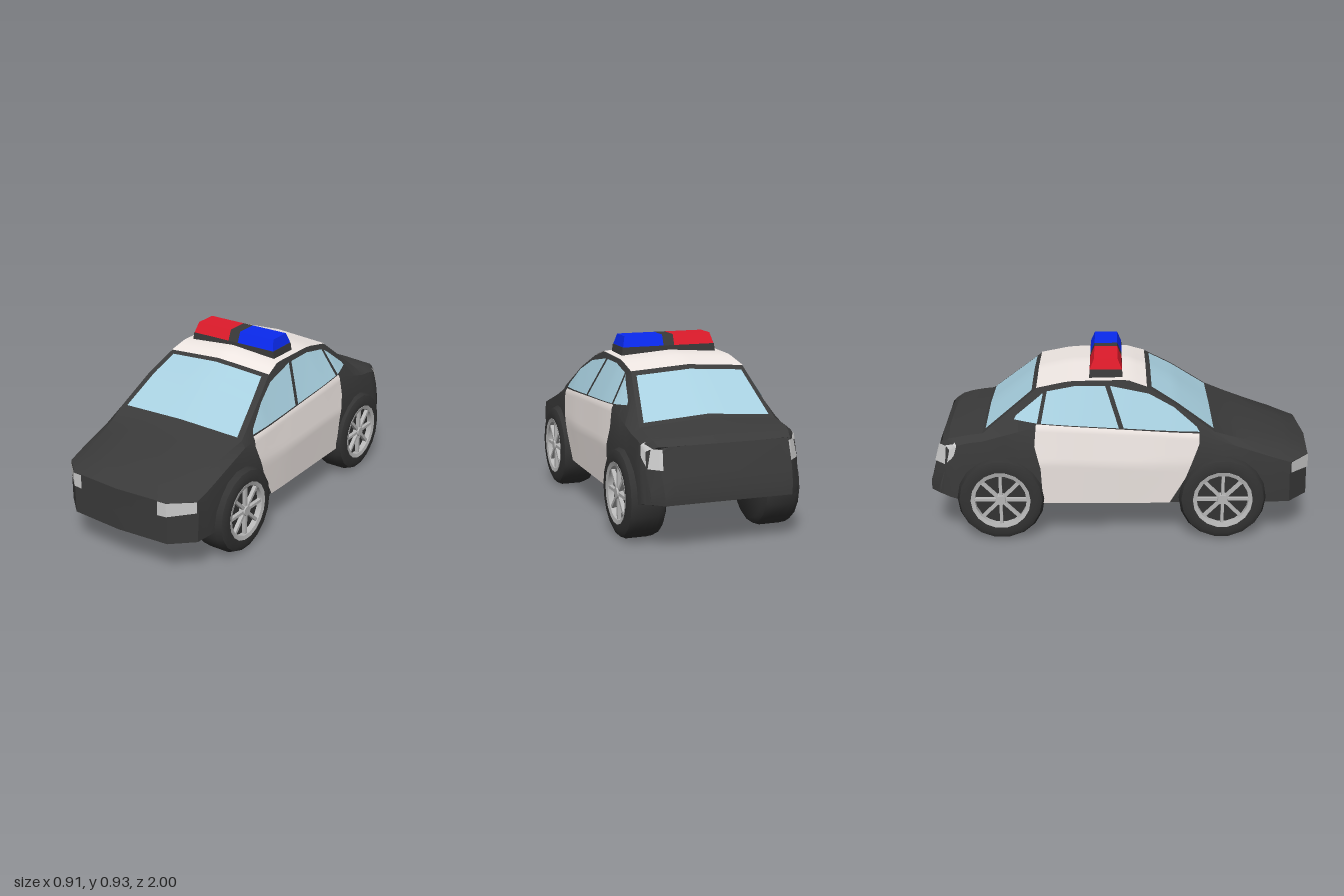
import * as THREE from 'three';
import { toCreasedNormals, mergeGeometries } from 'three/addons/utils/BufferGeometryUtils.js';

const mat = (color) => new THREE.MeshStandardMaterial({ color, side: THREE.DoubleSide });
const DARK = mat(0x3a3a3a), TYRE = mat(0x333333), WHITE = mat(0xf0e8e4), GLASS = mat(0xa8d0e0);
const METAL = mat(0xb8b8b8), LAMP = mat(0xcccccc), RED = mat(0xe01b2b), BLUE = mat(0x0a2af0);
const EPS = 0.004;
const { lerp, clamp } = THREE.MathUtils;

// Body sections, nose to tail: z, sill x y, flank x y, belt x y, top edge x y, centre y
const SECTIONS = [
  [1.0, 0.40, 0.20, 0.405, 0.35, 0.40, 0.42, 0.29, 0.425, 0.425],
  [0.88, 0.41, 0.20, 0.415, 0.36, 0.405, 0.45, 0.32, 0.47, 0.48],
  [0.48, 0.41, 0.20, 0.42, 0.42, 0.405, 0.55, 0.385, 0.585, 0.595],
  [0.28, 0.412, 0.20, 0.425, 0.42, 0.41, 0.575, 0.35, 0.72, 0.74],
  [0.14, 0.415, 0.20, 0.43, 0.42, 0.41, 0.585, 0.315, 0.80, 0.82],
  [0.03, 0.415, 0.20, 0.43, 0.42, 0.41, 0.59, 0.30, 0.835, 0.86],
  [-0.27, 0.415, 0.20, 0.43, 0.43, 0.41, 0.61, 0.30, 0.83, 0.85],
  [-0.44, 0.415, 0.20, 0.43, 0.43, 0.405, 0.62, 0.305, 0.795, 0.815],
  [-0.72, 0.415, 0.21, 0.42, 0.43, 0.40, 0.54, 0.36, 0.57, 0.595],
  [-0.90, 0.415, 0.225, 0.415, 0.42, 0.40, 0.52, 0.36, 0.55, 0.56],
  [-0.96, 0.41, 0.235, 0.41, 0.40, 0.395, 0.515, 0.35, 0.54, 0.55],
  [-1.0, 0.38, 0.245, 0.39, 0.38, 0.385, 0.49, 0.34, 0.515, 0.515],
];

function sectionAt(z) {
  let i = 0;
  while (i < SECTIONS.length - 2 && z < SECTIONS[i + 1][0]) i++;
  const a = SECTIONS[i], b = SECTIONS[i + 1];
  const t = clamp((a[0] - z) / (a[0] - b[0]), 0, 1);
  return a.map((v, k) => lerp(v, b[k], t));
}

// Half width of the body at height y
function widthAt(z, y) {
  const s = sectionAt(z);
  let k = 1;
  while (k < 5 && y > s[k + 3]) k += 2;
  return lerp(s[k], s[k + 2], clamp((y - s[k + 1]) / (s[k + 3] - s[k + 1]), 0, 1));
}

// Bows the nose in plan and slopes the tail
function warp(x, y, z) {
  const ax = Math.abs(x);
  const nose = clamp((z - 0.48) / 0.52, 0, 1), tail = clamp((-z - 0.8) / 0.2, 0, 1);
  z -= nose * (0.07 * ax + 0.85 * Math.max(0, ax - 0.29));
  z += tail * (0.26 * Math.max(0, y - 0.3) + Math.max(0, ax - 0.33));
  return [x, y, z];
}

// Surface grid from a point function of row and column
function grid(rows, cols, point, flip = false) {
  const pos = [], index = [];
  for (let i = 0; i < rows; i++) for (let j = 0; j < cols; j++) pos.push(...point(i, j));
  for (let i = 0; i < rows - 1; i++) for (let j = 0; j < cols - 1; j++) {
    const a = i * cols + j, b = a + 1, d = a + cols, c = d + 1;
    index.push(...(flip ? [a, b, d, b, c, d] : [a, d, b, b, d, c]));
  }
  const g = new THREE.BufferGeometry();
  g.setAttribute('position', new THREE.Float32BufferAttribute(pos, 3));
  g.setIndex(index);
  return g;
}

function add(parent, name, geometry, material) {
  const m = new THREE.Mesh(geometry, material);
  m.name = name;
  parent.add(m);
  return m;
}

function bodyGeometry() {
  const zs = [];
  SECTIONS.forEach((s, i) => {
    const n = SECTIONS[i + 1];
    for (let k = 0; k < (n ? 3 : 1); k++) zs.push(n ? lerp(s[0], n[0], k / 3) : s[0]);
  });
  const rings = zs.map((z) => {
    const [, xb, yb, xm, ym, xs, ys, xt, yt, yc] = sectionAt(z);
    const half = [[0, yb], [xb * 0.725, yb], [xb, yb], [xm, ym], [xs, ys], [xt, yt], [xt / 2, (yt + yc) / 2], [0, yc]];
    const other = half.slice(0, -1).reverse().map(([x, y]) => [-x, y]);
    return [...half, ...other].map(([x, y]) => warp(x, y, z));
  });
  const cap = (s, flip) => {
    const ys = [s[2], 0.3, s[4], s[6], s[8]], fs = [-1, -0.86, -0.725, 0, 0.725, 0.86, 1];
    return grid(5, 7, (i, j) => warp(fs[j] * widthAt(s[0], ys[i]), ys[i], s[0]), flip);
  };
  const shell = grid(rings.length, rings[0].length, (i, j) => rings[i][j]);
  return toCreasedNormals(mergeGeometries([shell, cap(SECTIONS[0], true), cap(SECTIONS.at(-1), false)]), 0.45);
}

// Thin panel ruled between two matching 2D curves, laid on the body by a map
function panel(parent, name, material, curveA, curveB, map) {
  const N = 6, cols = (curveA.length - 1) * N + 1;
  const at = (c, j) => {
    const k = Math.min(Math.floor(j / N), c.length - 2), t = j / N - k;
    return [lerp(c[k][0], c[k + 1][0], t), lerp(c[k][1], c[k + 1][1], t)];
  };
  const g = grid(13, cols, (i, j) => {
    const a = at(curveA, j), b = at(curveB, j), t = i / 12;
    return map(lerp(a[0], b[0], t), lerp(a[1], b[1], t));
  });
  add(parent, name, toCreasedNormals(g, 0.45), material);
}

const onSide = (s) => (z, y) => warp(s * (widthAt(z, y) + EPS), y, z);
const onEnd = (s, z) => (x, y) => {
  const p = warp(s * x, y, z);
  p[2] += Math.sign(z) * EPS;
  return p;
};
// Top panels use a fraction of the top width for x
const onTop = (f, z) => {
  const s = sectionAt(z);
  return [f * s[7], lerp(s[9], s[8], Math.abs(f)) + EPS, z];
};

// Box whose top face is pulled in; x0Top and x1Top set its ends
function wedge(x0, x1, x0Top, x1Top, y0, y1, z0, z1, inset) {
  const g = new THREE.BoxGeometry(1, 1, 1), p = g.attributes.position;
  for (let i = 0; i < p.count; i++) {
    const top = p.getY(i) > 0, right = p.getX(i) > 0, front = p.getZ(i) > 0, d = top ? inset : 0;
    p.setXYZ(i, right ? (top ? x1Top : x1) : (top ? x0Top : x0), top ? y1 : y0, front ? z1 - d : z0 + d);
  }
  g.computeVertexNormals();
  return g;
}

function makeWheel(name) {
  const wheel = new THREE.Group();
  wheel.name = name;
  const profile = [[0, -0.1], [0.19, -0.1], [0.215, -0.085], [0.228, -0.05], [0.228, 0.06], [0.215, 0.088],
    [0.19, 0.1], [0.156, 0.098], [0.15, 0.065], [0, 0.065]].map(([r, h]) => new THREE.Vector2(r, h));
  add(wheel, 'tyre', toCreasedNormals(new THREE.LatheGeometry(profile, 18).rotateZ(-Math.PI / 2), 0.6), TYRE);
  const rim = [[0.135, 0.065], [0.156, 0.07], [0.156, 0.1], [0.135, 0.095], [0.135, 0.065]].map(([r, h]) => new THREE.Vector2(r, h));
  add(wheel, 'rim', toCreasedNormals(new THREE.LatheGeometry(rim, 18).rotateZ(-Math.PI / 2), 0.6), METAL);
  add(wheel, 'hub', new THREE.CylinderGeometry(0.026, 0.032, 0.035, 12).rotateZ(-Math.PI / 2), METAL).position.x = 0.08;
  for (let i = 0; i < 8; i++) {
    const spoke = new THREE.BoxGeometry(0.02, 0.125, 0.016).translate(0.08, 0.08, 0);
    add(wheel, 'spoke', spoke, METAL).rotation.x = i * Math.PI / 4;
  }
  return wheel;
}

export function createModel() {
  const car = new THREE.Group();
  car.name = 'patrolCar';
  add(car, 'body', bodyGeometry(), DARK);

  // Roof and screens
  panel(car, 'roof', WHITE, [[-1, 0.13], [0, 0.13], [1, 0.13]], [[-1, -0.44], [0, -0.44], [1, -0.44]], onTop);
  panel(car, 'windshield', GLASS, [[-0.92, 0.475], [0.92, 0.475]], [[-0.89, 0.155], [0.89, 0.155]], onTop);
  panel(car, 'rearWindow', GLASS, [[-0.92, -0.465], [0.92, -0.465]], [[-0.93, -0.705], [0.93, -0.705]], onTop);

  for (const s of [1, -1]) {
    const side = s > 0 ? 'left' : 'right', map = onSide(s);
    // Doors and side glass
    panel(car, side + 'Doors', WHITE, [[0.25, 0.2], [0.33, 0.34], [0.4, 0.53], [0.4, 0.582]],
      [[-0.41, 0.2], [-0.42, 0.4], [-0.45, 0.52], [-0.44, 0.635]], map);
    panel(car, side + 'FrontWindow', GLASS, [[0.4, 0.59], [0.27, 0.597], [0.16, 0.603], [0.01, 0.612]],
      [[0.385, 0.615], [0.27, 0.71], [0.14, 0.775], [-0.06, 0.812]], map);
    panel(car, side + 'RearDoorWindow', GLASS, [[-0.015, 0.613], [-0.2, 0.624], [-0.415, 0.637]],
      [[-0.085, 0.812], [-0.24, 0.812], [-0.385, 0.785]], map);
    panel(car, side + 'QuarterWindow', GLASS, [[-0.435, 0.638], [-0.555, 0.65]], [[-0.405, 0.778], [-0.545, 0.668]], map);
    // Lamps
    panel(car, side + 'Headlight', LAMP, [[0.24, 0.348], [0.29, 0.35], [0.4, 0.36]],
      [[0.24, 0.424], [0.29, 0.423], [0.4, 0.419]], onEnd(s, 1));
    panel(car, side + 'TailLight', LAMP, [[0.33, 0.41], [0.388, 0.41]], [[0.325, 0.505], [0.37, 0.505]], onEnd(s, -1));
    panel(car, side + 'TailLightSide', LAMP, [[-1, 0.42], [-0.965, 0.46]], [[-1, 0.505], [-0.94, 0.53]], map);
    // Wheels
    for (const [end, z] of [['Front', 0.525], ['Rear', -0.63]]) {
      const wheel = makeWheel(side + end + 'Wheel');
      wheel.position.set(s * 0.355, 0.23, z);
      if (s < 0) wheel.rotation.y = Math.PI;
      car.add(wheel);
    }
  }

  // Light bar
  const bar = new THREE.Group();
  bar.name = 'lightBar';
  add(bar, 'lightBarBase', wedge(-0.263, 0.263, -0.257, 0.257, 0.835, 0.88, -0.168, 0.005, 0.003), DARK);
  add(bar, 'redLight', wedge(-0.255, -0.03, -0.24, -0.03, 0.88, 0.936, -0.165, 0.002, 0.023), RED);
  add(bar, 'lightBarCentre', wedge(-0.03, 0.03, -0.03, 0.03, 0.88, 0.936, -0.165, 0.002, 0.023), DARK);
  add(bar, 'blueLight', wedge(0.03, 0.255, 0.03, 0.24, 0.88, 0.936, -0.165, 0.002, 0.023), BLUE);
  car.add(bar);
  return car;
}
